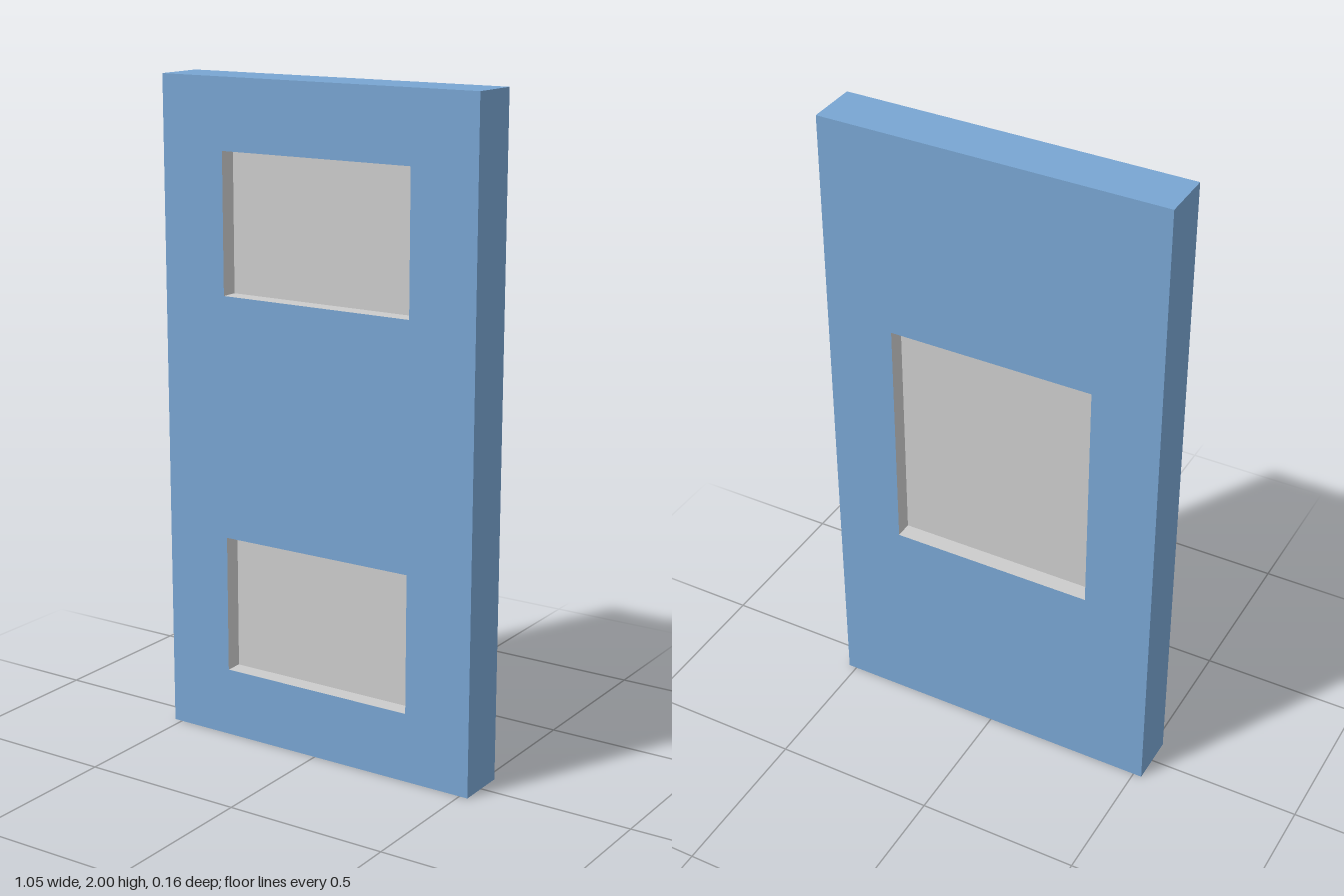
import * as THREE from 'three';

const U = 2 / 19;                       // layout module: panel is 10 x 19 modules
const W = 10 * U, H = 19 * U, T = 1.5 * U, DEPTH = 0.5 * U;
const RECESS_W = 6 * U;

const blue = new THREE.MeshStandardMaterial({ color: 0x78a5d2 });
const grey = new THREE.MeshStandardMaterial({ color: 0xcccccc });

function addMesh(parent, name, geometry, material) {
  const mesh = new THREE.Mesh(geometry, material);
  mesh.name = name;
  parent.add(mesh);
  return mesh;
}

function rectangle(target, w, y0, y1) {
  target.moveTo(-w / 2, y0).lineTo(w / 2, y0).lineTo(w / 2, y1).lineTo(-w / 2, y1).closePath();
  return target;
}

// Inward-facing tray: floor and four walls, open towards +z
function trayGeometry(w, h, d) {
  const g = new THREE.BoxGeometry(w, h, d);
  const index = Array.from(g.index.array);
  index.splice(24, 6);                  // remove the +z lid
  g.setIndex(index.reverse());          // turn the faces inward
  g.clearGroups();
  g.computeVertexNormals();
  return g;
}

// One broad side of the panel with its recesses, built facing +z
function createSide(name, spans) {
  const side = new THREE.Group();
  side.name = name;
  const shape = rectangle(new THREE.Shape(), W, 0, H);
  for (const [y0, y1] of spans) {
    shape.holes.push(rectangle(new THREE.Path(), RECESS_W, y0, y1));
    const tray = addMesh(side, 'recess', trayGeometry(RECESS_W, y1 - y0, DEPTH), grey);
    tray.position.set(0, (y0 + y1) / 2, T / 2 - DEPTH / 2);
  }
  addMesh(side, 'face', new THREE.ShapeGeometry(shape), blue).position.z = T / 2;
  return side;
}

export function createModel() {
  const model = new THREE.Group();
  model.name = 'recessedPanel';

  // Outer rim: box without its two broad faces
  const rim = new THREE.BoxGeometry(W, H, T);
  rim.setIndex(Array.from(rim.index.array).slice(0, 24));
  rim.clearGroups();
  addMesh(model, 'rim', rim, blue).position.y = H / 2;

  // Two recesses in front, one in the middle of the back
  model.add(createSide('frontSide', [[2 * U, 6 * U], [13 * U, 17 * U]]));
  const back = createSide('backSide', [[6 * U, 13 * U]]);
  back.rotation.y = Math.PI;
  model.add(back);

  return model;
}
